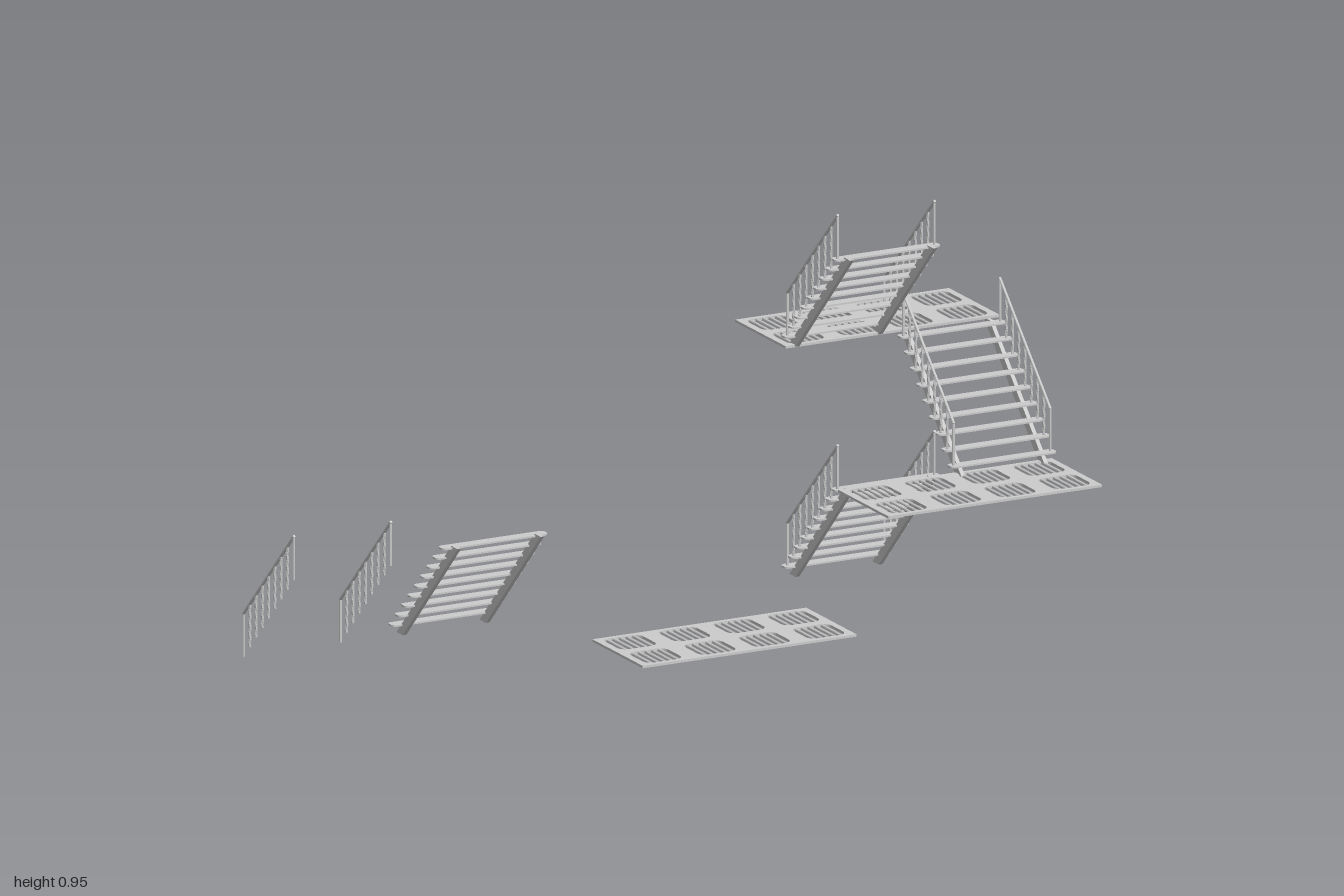
import * as THREE from 'three';

const steel = new THREE.MeshStandardMaterial({ color: 0xcccccc, flatShading: true });
const STEPS = 9, RUN = 0.0313, RISE = 0.0314, Z0 = -0.145, Y0 = 0.025;
const RAIL_H = 0.105, RAIL_X = 0.128;

function add(parent, geometry, name, x = 0, y = 0, z = 0) {
  const mesh = new THREE.Mesh(geometry, steel);
  mesh.name = name;
  mesh.position.set(x, y, z);
  parent.add(mesh);
  return mesh;
}

// Outline given as [z, y] pairs, extruded across x and centred on it
function sideProfile(points, width) {
  const shape = new THREE.Shape(points.map(([z, y]) => new THREE.Vector2(z, y)));
  const g = new THREE.ExtrudeGeometry(shape, { depth: width, bevelEnabled: false });
  return g.translate(0, 0, -width / 2).rotateY(-Math.PI / 2);
}

function roundedRect(path, cx, cy, w, h, r) {
  const x = w / 2 - r, y = h / 2 - r;
  path.absarc(cx + x, cy + y, r, 0, Math.PI / 2);
  path.absarc(cx - x, cy + y, r, Math.PI / 2, Math.PI);
  path.absarc(cx - x, cy - y, r, Math.PI, Math.PI * 1.5);
  path.absarc(cx + x, cy - y, r, Math.PI * 1.5, Math.PI * 2);
  path.closePath();
  return path;
}

// Flat plate lying in xz, its underside on y = 0
function plate(shape, thickness) {
  return new THREE.ExtrudeGeometry(shape, { depth: thickness, bevelEnabled: false, curveSegments: 5 })
    .rotateX(-Math.PI / 2);
}

// Square bar twisted about its own axis
function twistedBar(size, height, turns) {
  const g = new THREE.BoxGeometry(size, height, size, 1, 16, 1);
  const p = g.attributes.position;
  for (let i = 0; i < p.count; i++) {
    const a = (p.getY(i) / height) * turns * Math.PI * 2;
    const x = p.getX(i), z = p.getZ(i);
    p.setX(i, x * Math.cos(a) - z * Math.sin(a));
    p.setZ(i, x * Math.sin(a) + z * Math.cos(a));
  }
  g.computeVertexNormals();
  return g;
}

const treadGeo = plate(roundedRect(new THREE.Shape(), 0, 0, 0.28, 0.03, 0.011), 0.004);
const stringerGeo = sideProfile([[-0.16, 0], [-0.129, 0], [0.145, 0.28], [0.114, 0.28]], 0.01);
const endPostGeo = new THREE.CylinderGeometry(0.0033, 0.0033, RAIL_H, 8);
const balusterGeo = twistedBar(0.005, RAIL_H, 1);
const railRun = RUN * (STEPS - 1), railRise = RISE * (STEPS - 1);
const handrailGeo = new THREE.CylinderGeometry(0.0035, 0.0035, Math.hypot(railRun, railRise) + 0.006, 8)
  .rotateX(Math.atan2(railRun, railRise));

// Railing with its lowest post standing on y = 0
function makeRailing(name) {
  const g = new THREE.Group();
  g.name = name;
  add(g, handrailGeo, 'handrail', 0, railRise / 2 + RAIL_H, Z0 + railRun / 2);
  for (let i = 0; i < STEPS; i++) {
    const end = i === 0 || i === STEPS - 1;
    add(g, end ? endPostGeo : balusterGeo, end ? 'endPost' : 'baluster',
      0, RISE * i + RAIL_H / 2, Z0 + RUN * i);
  }
  return g;
}

// Open flight rising towards +z
function makeFlight(name, withRailings) {
  const g = new THREE.Group();
  g.name = name;
  for (const s of [-1, 1]) {
    add(g, stringerGeo, s > 0 ? 'leftStringer' : 'rightStringer', s * 0.11);
    if (withRailings) {
      const railing = makeRailing(s > 0 ? 'leftRailing' : 'rightRailing');
      railing.position.set(s * RAIL_X, Y0, 0);
      g.add(railing);
    }
  }
  for (let i = 0; i < STEPS; i++) add(g, treadGeo, 'tread', 0, Y0 - 0.003 + RISE * i, Z0 + RUN * i);
  return g;
}

// Landing plate with eight barred openings
const landingShape = new THREE.Shape();
landingShape.moveTo(-0.283, -0.126).lineTo(0.283, -0.126).lineTo(0.283, 0.126).lineTo(-0.283, 0.126).closePath();
const openings = [];
for (const x of [-0.216, -0.072, 0.072, 0.216]) for (const z of [-0.063, 0.063]) {
  openings.push([x, z]);
  landingShape.holes.push(roundedRect(new THREE.Path(), x, z, 0.1, 0.1, 0.022));
}
const landingGeo = plate(landingShape, 0.006);
const gridBarGeo = new THREE.CylinderGeometry(0.0035, 0.0035, 0.1, 8).rotateX(Math.PI / 2);

function makeLanding(name) {
  const g = new THREE.Group();
  g.name = name;
  add(g, landingGeo, 'landingPlate');
  for (const [x, z] of openings)
    for (let i = -2; i <= 2; i++) add(g, gridBarGeo, 'gridBar', x + i * 0.0175, 0.003, z);
  return g;
}

export function createModel() {
  const model = new THREE.Group();
  model.name = 'fireEscapeStairs';
  const place = (part, x, y, z, turn = 0) => {
    part.position.set(x, y, z);
    part.rotation.y = turn;
    model.add(part);
  };

  // Assembled zigzag stair
  place(makeFlight('lowerFlight', true), 0.571, 0, 0);
  place(makeFlight('middleFlight', true), 0.857, 0.28, 0, Math.PI);
  place(makeFlight('upperFlight', true), 0.571, 0.561, 0);
  place(makeLanding('middleLanding'), 0.714, 0.277, 0.256);
  place(makeLanding('upperLanding'), 0.714, 0.559, -0.258);

  // Separate parts laid out beside it
  place(makeLanding('looseLanding'), 0.064, 0.001, 0.256);
  place(makeFlight('looseFlight', false), -0.469, 0, 0);
  place(makeRailing('looseLeftRailing'), -0.74, 0, 0);
  place(makeRailing('looseRightRailing'), -0.9965, 0, 0);
  return model;
}
